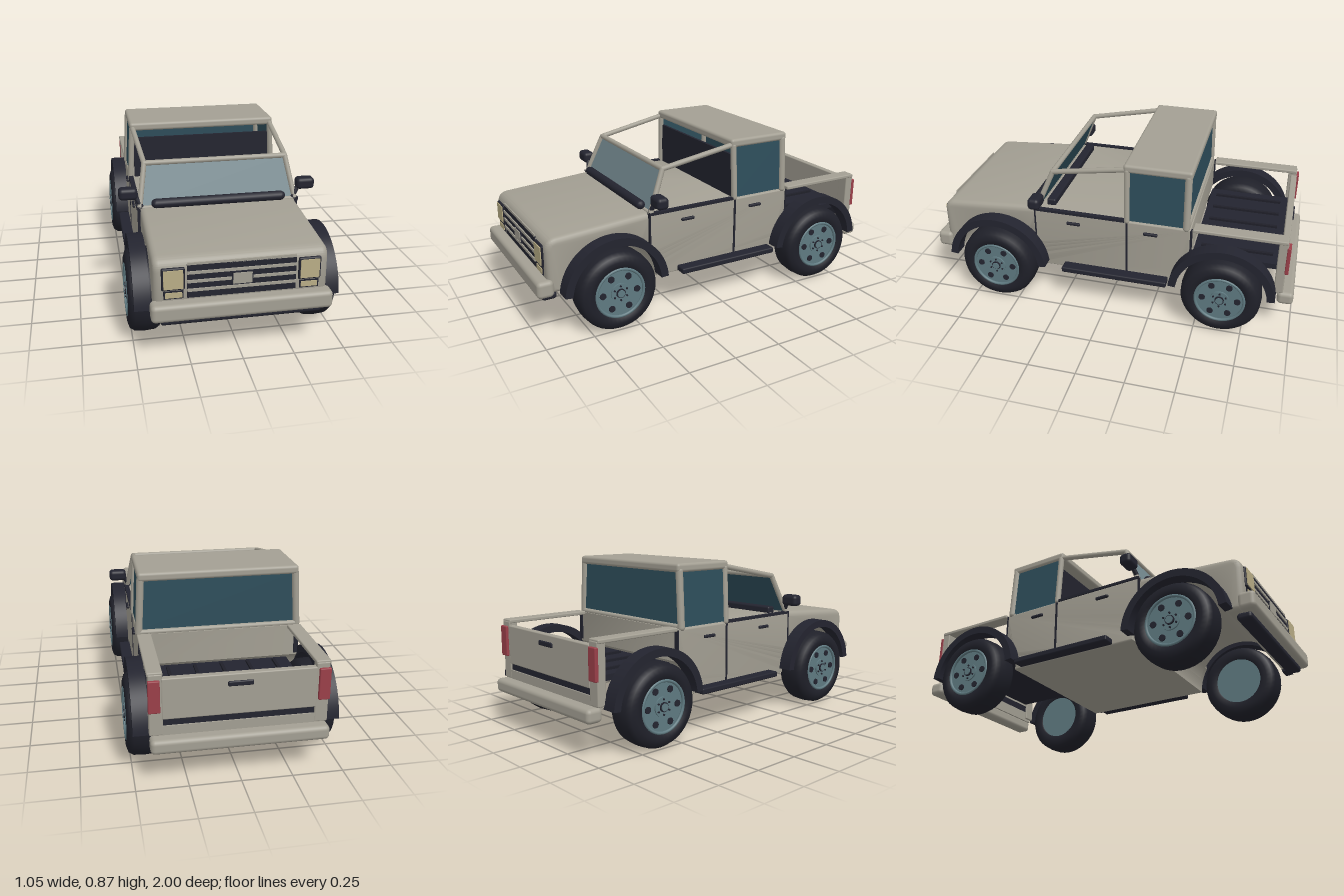
import * as THREE from 'three';
import { toCreasedNormals } from 'three/addons/utils/BufferGeometryUtils.js';
import { RoundedBoxGeometry } from 'three/addons/geometries/RoundedBoxGeometry.js';

function material(name, color, side = THREE.FrontSide) {
  const m = new THREE.MeshStandardMaterial({ color, side });
  m.name = name;
  return m;
}

export function createModel() {
  const body = material('warm grey paint', 0xa39f93);
  const dark = material('black trim', 0x23242f);
  const tyreMat = material('tyre rubber', 0x1f2029);
  const glass = material('dark glass', 0x2d4d5a, THREE.DoubleSide);
  const shield = material('windshield glass', 0x70848a);
  const rimMat = material('wheel metal', 0x5f7a81);
  const lamp = material('lamp lens', 0xb9ad86);
  const red = material('tail lamp red', 0x9a3f49);
  const root = new THREE.Group();
  root.name = 'pickupTruck';

  const add = (name, geo, mat, parent = root) => {
    const m = new THREE.Mesh(geo, mat);
    m.name = name;
    parent.add(m);
    return m;
  };
  // Box given by its limits; a positive r rounds the edges
  const box = (name, mat, x0, x1, y0, y1, z0, z1, r = 0, parent = root) => {
    const s = [Math.abs(x1 - x0), y1 - y0, z1 - z0];
    const geo = r ? new RoundedBoxGeometry(...s, 3, r) : new THREE.BoxGeometry(...s);
    const m = add(name, geo, mat, parent);
    m.position.set((x0 + x1) / 2, (y0 + y1) / 2, (z0 + z1) / 2);
    return m;
  };
  const rod = (name, mat, a, b, r) => {
    const p = new THREE.Vector3(...a), q = new THREE.Vector3(...b), d = q.clone().sub(p);
    const m = add(name, new THREE.CapsuleGeometry(r, d.length(), 4, 12), mat);
    m.position.copy(p).add(q).multiplyScalar(0.5);
    m.quaternion.setFromUnitVectors(new THREE.Vector3(0, 1, 0), d.normalize());
  };
  // Four corners, counter-clockwise from the front
  const quad = (name, mat, a, b, c, d) => {
    const g = new THREE.BufferGeometry();
    g.setAttribute('position', new THREE.Float32BufferAttribute([a, b, c, d].flat(), 3));
    g.setIndex([0, 1, 2, 0, 2, 3]);
    g.computeVertexNormals();
    add(name, g, mat);
  };
  // Side profile in (z, y), extruded across the width from x0 to x1
  const across = (name, mat, shape, x0, x1, bevel = 0) => {
    let g = new THREE.ExtrudeGeometry(shape, {
      depth: x1 - x0 - 2 * bevel, curveSegments: 28, bevelEnabled: bevel > 0,
      bevelThickness: bevel, bevelSize: bevel, bevelOffset: -bevel, bevelSegments: 4,
    });
    g.rotateY(-Math.PI / 2).translate(x1 - bevel, 0, 0);
    add(name, toCreasedNormals(g, 0.6), mat);
  };

  const FZ = 0.61, RZ = -0.63, WY = 0.215, ARCH = 0.25;
  const archAngle = (z, cz) => Math.acos((z - cz) / ARCH);

  // Nose and hood, with the front wheel arch cut through
  const nose = new THREE.Shape();
  nose.moveTo(0.86, 0.24);
  nose.lineTo(0.925, 0.24);
  nose.lineTo(0.943, 0.3);
  nose.lineTo(0.943, 0.46);
  nose.quadraticCurveTo(0.942, 0.52, 0.885, 0.525);
  nose.lineTo(0.41, 0.56);
  nose.lineTo(0.37, 0.555);
  nose.absarc(FZ, WY, ARCH, archAngle(0.37, FZ), 0.1, true);
  across('nose', body, nose, -0.413, 0.413, 0.028);

  // Cab tub
  const tub = new THREE.Shape();
  tub.moveTo(-0.38, 0.21);
  tub.lineTo(0.36, 0.21);
  tub.absarc(FZ, WY, ARCH, Math.PI, archAngle(0.4, FZ), true);
  tub.lineTo(0.4, 0.555);
  tub.lineTo(-0.45, 0.555);
  tub.absarc(RZ, WY, ARCH, archAngle(-0.45, RZ), 0, true);
  across('cabTub', body, tub, -0.425, 0.425, 0.01);

  // Grille, bars and plain centre plate
  box('grille', dark, -0.257, 0.257, 0.325, 0.49, 0.93, 0.946);
  [0.494, 0.453, 0.409, 0.365].forEach((y, i) =>
    box('grilleBar', body, -0.257, 0.257, y - 0.007, y + 0.007, 0.94, i ? 0.952 : 0.946));
  box('grillePlate', dark, -0.05, 0.05, 0.378, 0.442, 0.94, 0.954);
  box('grillePlateFace', body, -0.045, 0.045, 0.383, 0.437, 0.945, 0.958);

  // Bumpers and front valance
  box('frontBumper', body, -0.43, 0.43, 0.23, 0.318, 0.915, 1.0, 0.022);
  box('frontValance', dark, -0.385, 0.385, 0.197, 0.235, 0.89, 0.965, 0.015);
  box('rearBumper', body, -0.425, 0.425, 0.178, 0.25, -1.0, -0.915, 0.022);

  // Cowl pad and dashboard
  rod('cowlPad', dark, [-0.33, 0.583, 0.405], [0.33, 0.583, 0.405], 0.025);
  box('dashboard', dark, -0.36, 0.36, 0.55, 0.59, 0.3, 0.35, 0.01);

  // Windshield: light outside, dark inside
  const bl = [-0.405, 0.56, 0.385], br = [0.405, 0.56, 0.385];
  const tr = [0.37, 0.765, 0.3], tl = [-0.37, 0.765, 0.3];
  quad('windshieldOutside', shield, bl, br, tr, tl);
  const behind = (p) => [p[0], p[1] - 0.002, p[2] - 0.004];
  quad('windshieldInside', glass, ...[br, bl, tl, tr].map(behind));
  rod('windshieldHeader', body, [-0.375, 0.77, 0.3], [0.375, 0.77, 0.3], 0.014);
  rod('windshieldSill', body, [-0.41, 0.558, 0.387], [0.41, 0.558, 0.387], 0.01);

  // Hardtop
  box('roof', body, -0.415, 0.415, 0.832, 0.877, -0.445, -0.09, 0.015);
  quad('rearWindow', glass, [0.41, 0.575, -0.43], [-0.41, 0.575, -0.43], [-0.395, 0.835, -0.425], [0.395, 0.835, -0.425]);
  rod('rearWindowSill', body, [-0.41, 0.562, -0.43], [0.41, 0.562, -0.43], 0.014);
  box('cabBulkhead', dark, -0.395, 0.395, 0.555, 0.787, -0.125, -0.11);

  // Load bed and tailgate
  box('bedFloor', dark, -0.36, 0.36, 0.35, 0.38, -0.91, -0.455);
  for (let i = -2; i <= 2; i++)
    box('bedRib', tyreMat, i * 0.14 - 0.008, i * 0.14 + 0.008, 0.375, 0.392, -0.87, -0.49);
  box('tailgate', body, -0.365, 0.365, 0.33, 0.535, -0.945, -0.91, 0.006);
  box('tailgateGap', dark, -0.4, 0.4, 0.295, 0.335, -0.935, -0.905);
  box('rearApron', body, -0.41, 0.41, 0.235, 0.297, -0.942, -0.905);
  box('tailgateHandle', dark, -0.06, 0.06, 0.475, 0.5, -0.953, -0.935, 0.006);

  // Parts on both sides
  for (const s of [1, -1]) {
    const side = (name, mat, x0, x1, ...rest) => box(name, mat, s * x0, s * x1, ...rest);
    // Lamps
    side('headlampFrame', dark, 0.267, 0.376, 0.37, 0.482, 0.925, 0.952, 0.008);
    side('headlamp', lamp, 0.276, 0.367, 0.38, 0.473, 0.94, 0.957);
    side('turnLampFrame', dark, 0.274, 0.367, 0.327, 0.366, 0.93, 0.948);
    side('turnLamp', lamp, 0.281, 0.36, 0.333, 0.36, 0.94, 0.952);
    side('tailLamp', red, 0.372, 0.428, 0.37, 0.53, -0.957, -0.937, 0.005);

    // Windshield posts, top bars and hardtop pillars
    rod('windshieldPost', body, [s * 0.413, 0.56, 0.387], [s * 0.377, 0.77, 0.3], 0.014);
    rod('topBar', body, [s * 0.377, 0.77, 0.3], [s * 0.398, 0.845, -0.1], 0.014);
    rod('frontPillar', body, [s * 0.418, 0.56, -0.112], [s * 0.402, 0.84, -0.108], 0.016);
    rod('rearPillar', body, [s * 0.416, 0.56, -0.426], [s * 0.4, 0.84, -0.424], 0.019);
    quad('sideWindow', glass, [s * 0.42, 0.56, -0.11], [s * 0.42, 0.56, -0.425],
      [s * 0.404, 0.84, -0.425], [s * 0.404, 0.84, -0.11]);

    // Mirror
    side('mirror', dark, 0.422, 0.52, 0.603, 0.665, 0.335, 0.4, 0.02);
    rod('mirrorArm', dark, [s * 0.405, 0.565, 0.385], [s * 0.44, 0.63, 0.37], 0.012);

    // Door seams, handles, belt trim and step
    side('beltTrim', dark, 0.405, 0.43, 0.55, 0.564, -0.1, 0.4);
    side('frontSeam', dark, 0.41, 0.427, 0.36, 0.555, 0.393, 0.401);
    side('doorSeam', dark, 0.41, 0.428, 0.225, 0.555, -0.118, -0.106);
    side('rearSeam', dark, 0.4, 0.424, 0.4, 0.55, -0.456, -0.447);
    for (const z of [0.18, -0.24])
      side('doorHandle', dark, 0.42, 0.437, 0.49, 0.506, z - 0.038, z + 0.038, 0.006);
    side('sideStep', dark, 0.4, 0.486, 0.214, 0.245, -0.34, 0.24, 0.008);

    // Bed rail and corner post
    side('bedRail', body, 0.357, 0.43, 0.545, 0.565, -0.94, -0.46, 0.006);
    side('bedPost', body, 0.36, 0.425, 0.25, 0.556, -0.943, -0.895, 0.006);

    for (const z of [FZ, RZ]) {
      // Fender flare
      const flare = new THREE.Shape();
      flare.absarc(z, WY, 0.28, 0.1, Math.PI - 0.08, false);
      flare.absarc(z, WY, 0.24, Math.PI - 0.08, 0.1, true);
      across('fenderFlare', dark, flare, s > 0 ? 0.42 : -0.498, s > 0 ? 0.498 : -0.42);
      root.add(wheel(s, z));
    }
  }

  // Wheel built facing +x, turned round for the right side
  function wheel(s, z) {
    const g = new THREE.Group();
    g.name = 'wheel';
    g.position.set(s * 0.437, WY, z);
    if (s < 0) g.rotation.y = Math.PI;
    const profile = [[0.125, -0.07], [0.135, -0.08], [0.165, -0.082], [0.193, -0.073], [0.208, -0.05], [0.212, 0],
      [0.208, 0.05], [0.193, 0.073], [0.165, 0.082], [0.135, 0.08], [0.125, 0.06]].map(p => new THREE.Vector2(...p));
    add('tyre', new THREE.LatheGeometry(profile, 40).rotateZ(-Math.PI / 2), tyreMat, g);
    const disc = (name, mat, r, x0, x1, y = 0, dz = 0, n = 32) => {
      const m = add(name, new THREE.CylinderGeometry(r, r, x1 - x0, n).rotateZ(-Math.PI / 2), mat, g);
      m.position.set((x0 + x1) / 2, y, dz);
    };
    disc('rim', rimMat, 0.13, -0.074, 0.07);
    const ring = add('rimLip', new THREE.TorusGeometry(0.127, 0.008, 8, 40).rotateY(Math.PI / 2), rimMat, g);
    ring.position.x = 0.077;
    disc('hub', rimMat, 0.05, 0.06, 0.078);
    disc('hubCap', dark, 0.024, 0.07, 0.086);
    disc('hubCentre', rimMat, 0.019, 0.08, 0.09);
    for (let i = 0; i < 6; i++) {
      const a = i * Math.PI / 3;
      disc('rimHole', dark, 0.017, 0.065, 0.076, 0.092 * Math.sin(a), 0.092 * Math.cos(a), 12);
      const b = a + Math.PI / 6;
      disc('wheelNut', dark, 0.005, 0.07, 0.084, 0.038 * Math.sin(b), 0.038 * Math.cos(b), 8);
    }
    return g;
  }

  return root;
}
